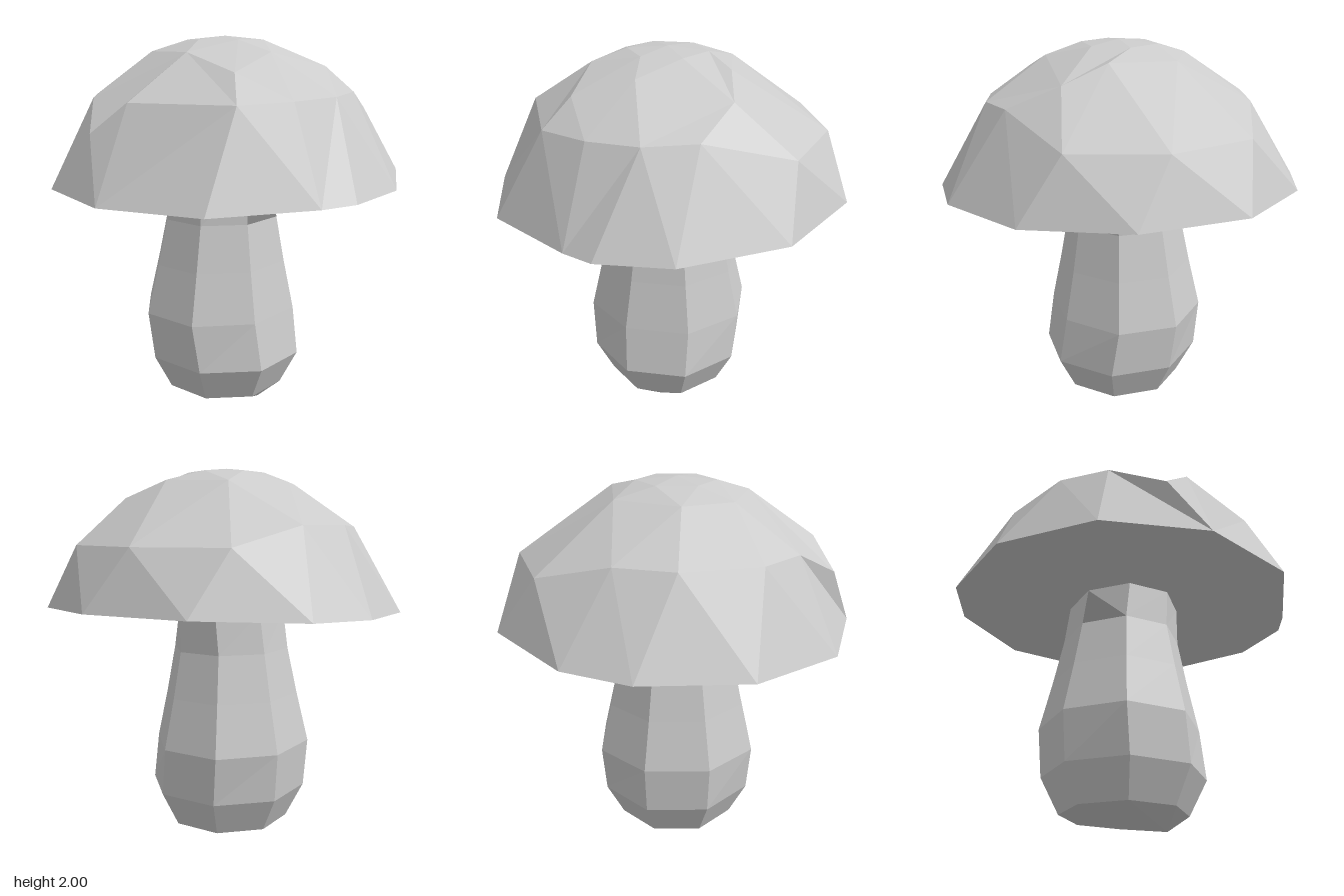
import * as THREE from 'three';

const material = new THREE.MeshStandardMaterial({ color: 0xcccccc, flatShading: true, side: THREE.DoubleSide });

// Cross-sections of the cap, each corner [x, y, z], listed by rising angle from +x towards +z.
const rim = [
  [0.94, 1.24, 0.18], [0.85, 1.23, 0.34], [0.53, 1.22, 0.78], [0, 1.22, 0.94],
  [-0.53, 1.22, 0.78], [-0.88, 1.24, 0.35], [-0.94, 1.26, -0.2], [-0.8, 1.27, -0.54],
  [-0.37, 1.29, -0.9], [0.19, 1.29, -0.95], [0.68, 1.27, -0.69], [0.94, 1.25, -0.2],
];
const shoulder = [
  [0.7, 1.71, 0], [0.64, 1.7, 0.27], [0.5, 1.69, 0.52], [0, 1.69, 0.72], [-0.17, 1.54, 0.81],
  [-0.39, 1.69, 0.59], [-0.58, 1.69, 0.4], [-0.7, 1.7, 0], [-0.62, 1.7, -0.3],
  [-0.46, 1.6, -0.68], [0, 1.6, -0.83], [0.46, 1.6, -0.69], [0.64, 1.72, -0.26],
];
const crown = [
  [0.37, 1.92, 0.09], [0.39, 1.83, 0.4], [0.07, 1.92, 0.38], [-0.27, 1.92, 0.28],
  [-0.37, 1.92, 0.02], [-0.21, 1.92, -0.31], [0.15, 1.93, -0.34], [0.39, 1.84, -0.38],
];
const tip = ring(6, (c, s) => [0.2 * c, 1.98, 0.21 * s]);

function ring(n, point) {
  return Array.from({ length: n }, (_, i) => {
    const a = ((i + 0.5) / n) * Math.PI * 2;
    return point(Math.cos(a), Math.sin(a));
  });
}

const angle = (p) => (Math.atan2(p[2], p[0]) + Math.PI * 2) % (Math.PI * 2);

// Joins two loops with different corner counts, stepping round whichever lags behind.
function zip(outer, inner) {
  const sort = (loop) => [...loop].sort((p, q) => angle(p) - angle(q));
  const a = sort(outer), b = sort(inner), triangles = [];
  const at = (loop, i) => loop[i % loop.length];
  const turn = (loop, i) => angle(at(loop, i)) + (i >= loop.length ? Math.PI * 2 : 0);
  let i = 0, j = 0;
  while (i < a.length || j < b.length) {
    const stepOuter = j >= b.length || (i < a.length && turn(a, i + 1) <= turn(b, j + 1));
    if (stepOuter) triangles.push([at(a, i), at(b, j), at(a, ++i)]);
    else triangles.push([at(a, i), at(b, j), at(b, ++j)]);
  }
  return triangles;
}

function fan(loop, centre, flip = false) {
  return loop.map((p, i) => {
    const q = loop[(i + 1) % loop.length];
    return flip ? [p, q, centre] : [p, centre, q];
  });
}

function mesh(name, triangles) {
  const geometry = new THREE.BufferGeometry();
  geometry.setAttribute('position', new THREE.Float32BufferAttribute(triangles.flat(2), 3));
  geometry.computeVertexNormals();
  const result = new THREE.Mesh(geometry, material);
  result.name = name;
  return result;
}

export function createModel() {
  const group = new THREE.Group();
  group.name = 'mushroom';

  // Eight-sided stem: [height, centre x, half width, half depth]
  const stemRings = [
    [0.06, -0.01, 0.31, 0.31], [0.25, -0.01, 0.4, 0.4], [0.51, -0.04, 0.39, 0.42],
    [0.78, -0.035, 0.335, 0.36], [1.03, -0.03, 0.29, 0.31], [1.24, -0.015, 0.275, 0.31],
  ].map(([y, x, w, d]) => ring(8, (c, s) => {
    const z = (d * s) / 0.924;
    return [x + (w * c) / 0.924, y > 1.2 ? y - 0.03 * z : y, z];
  }));
  const stem = fan(stemRings[0], [0.24, 0, 0], true);
  for (let k = 0; k < stemRings.length - 1; k++) {
    const low = stemRings[k], high = stemRings[k + 1];
    for (let i = 0; i < 8; i++) {
      const n = (i + 1) % 8;
      const top = k === stemRings.length - 2;
      // The neck is broken open on the left side and at two corners
      if (top && i === 7) continue;
      if (!(top && i === 2)) stem.push([low[i], high[i], low[n]]);
      if (!(top && (i === 2 || i === 6))) stem.push([high[i], high[n], low[n]]);
      if (top && i === 2) stem.push([low[i], high[i], high[n]]);
    }
  }
  group.add(mesh('stem', stem));

  // Faceted dome of the cap
  group.add(mesh('cap', [
    ...zip(rim, shoulder), ...zip(shoulder, crown), ...zip(crown, tip), ...fan(tip, [0, 2, 0]),
  ]));

  // Flat underside, closed over the stem
  const neck = stemRings[stemRings.length - 1];
  group.add(mesh('capUnderside', [...zip(neck, rim), ...fan(neck, [0, 1.24, 0], true)]));
  return group;
}
